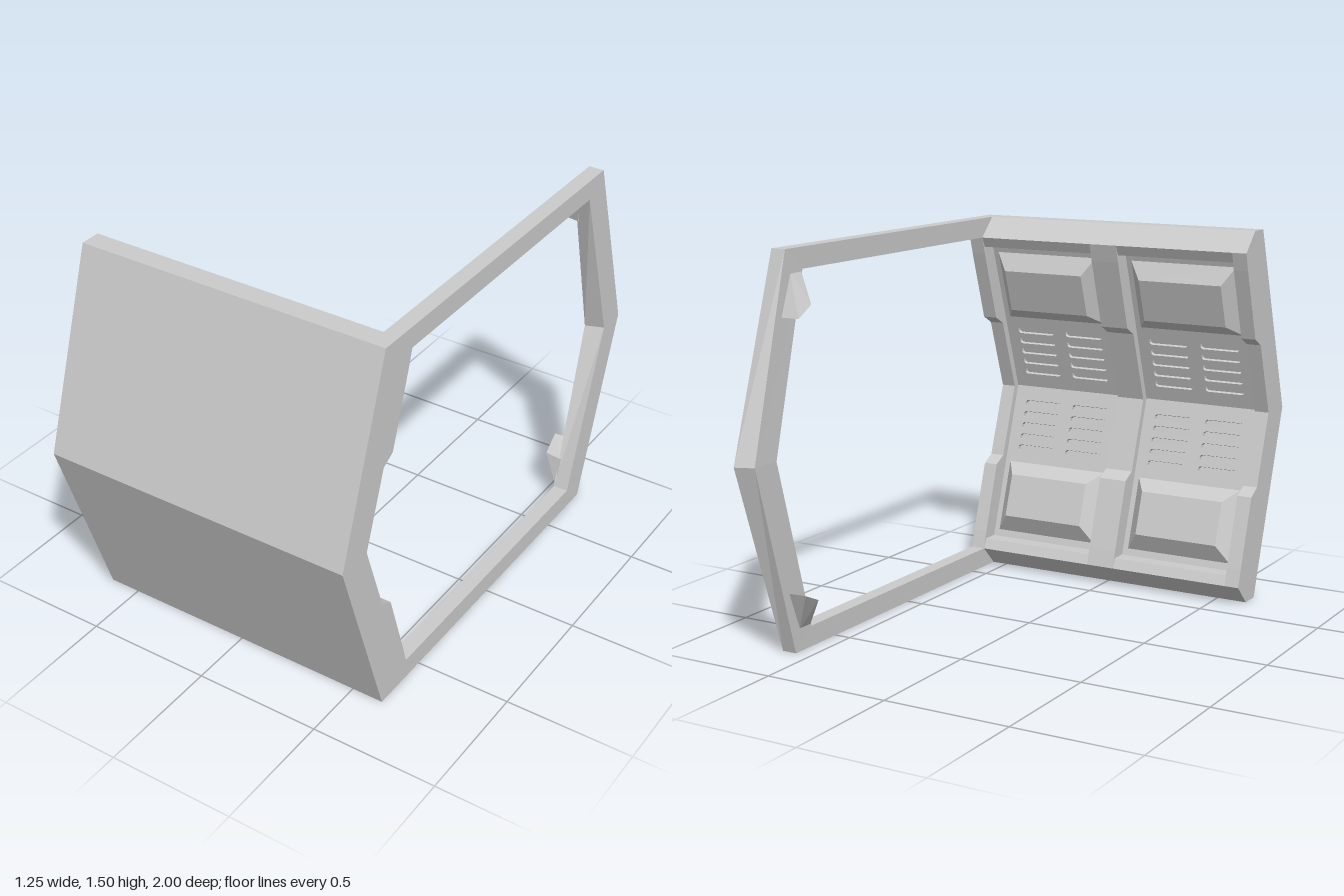
import * as THREE from 'three';
import { ConvexGeometry } from 'three/addons/geometries/ConvexGeometry.js';

const material = new THREE.MeshStandardMaterial({ color: 0xcccccc, flatShading: true });
const H = 1.5;

function add(parent, geometry, name) {
  const mesh = new THREE.Mesh(geometry, material);
  mesh.name = name;
  parent.add(mesh);
  return mesh;
}

const toShape = (points) => new THREE.Shape(points.map(([a, b]) => new THREE.Vector2(a, b)));

// Extrude a (z, y) outline along x, from x0 to x1
function extrudeX(shape, x0, x1) {
  const g = new THREE.ExtrudeGeometry(shape, { depth: x1 - x0, bevelEnabled: false });
  g.rotateY(-Math.PI / 2);
  g.translate(x1, 0, 0);
  return g;
}

// Complete a lower-half profile (ending at mid height) with its upper mirror image
function mirrorUp(half) {
  const upper = half.slice(0, -1).reverse().map(([z, y]) => [z, H - y]);
  return [...half, ...upper];
}

// Raised box with sloping sides
function frustum(w, h, d, insetX, insetY) {
  const g = new THREE.BoxGeometry(w, h, d);
  g.translate(0, 0, d / 2);
  const p = g.attributes.position;
  for (let i = 0; i < p.count; i++) {
    if (p.getZ(i) < d / 2) continue;
    p.setX(i, p.getX(i) - Math.sign(p.getX(i)) * insetX);
    p.setY(i, p.getY(i) - Math.sign(p.getY(i)) * insetY);
  }
  g.computeVertexNormals();
  return g;
}

// Vent plate lying in its own xy plane, top edge at y = 0
function ventPlate(width, length, depth) {
  const w = width / 2;
  const shape = toShape([[-w, -length], [w, -length], [w, 0], [-w, 0]]);
  for (const cx of [-0.115, 0.115]) {
    for (let i = 0; i < 5; i++) {
      const y = -0.075 - i * 0.049, hx = 0.085, hy = 0.013, c = 0.007;
      const hole = [
        [-hx, -hy + c], [-hx, hy - c], [-hx + c, hy], [hx - c, hy],
        [hx, hy - c], [hx, -hy + c], [hx - c, -hy], [-hx + c, -hy],
      ].map(([a, b]) => new THREE.Vector2(cx + a, y + b));
      shape.holes.push(new THREE.Path(hole));
    }
  }
  const g = new THREE.ExtrudeGeometry(shape, { depth, bevelEnabled: false });
  g.translate(0, 0, -depth);
  return g;
}

// Lower or upper run of panels; local +z is the inward normal
function panelRun() {
  const run = new THREE.Group();
  const n = 1 / Math.hypot(3, 1);
  const slope = new THREE.Group();
  slope.applyMatrix4(new THREE.Matrix4().makeBasis(
    new THREE.Vector3(-1, 0, 0),
    new THREE.Vector3(0, 3 * n, n),
    new THREE.Vector3(0, n, -3 * n),
  ));
  slope.position.set(0, 0, 0.885);
  for (const x of [-0.3125, 0.3125]) {
    add(slope, ventPlate(0.505, 0.67, 0.016), 'ventPanel').position.x = x;
    add(slope, frustum(0.46, 0.3, 0.055, 0.05, 0.06), 'raisedPad').position.set(x, -0.485, 0);
  }
  run.add(slope);
  return run;
}

export function createModel() {
  const model = new THREE.Group();
  model.name = 'corridorCorner';

  // Stepped inner edge shared by all ribs, bottom to mid height
  const innerHalf = [[0.59, 0.08], [0.61, 0.15], [0.7, 0.43], [0.755, 0.46], [0.855, 0.75]];
  const inner = mirrorUp(innerHalf);
  const bevelled = [[0.67, 0], [0.75, 0], [1, 0.75], [0.75, H], [0.67, H]];

  // Wall body with bevelled top and bottom rails
  const body = [
    ...bevelled,
    ...mirrorUp([[0.59, 0.08], [0.61, 0.12], [0.69, 0.12], [0.9, 0.75]]).reverse(),
  ];
  add(model, extrudeX(toShape(body), -0.565, 0.565), 'wallBody');

  // End rib and centre rib
  const rib = [...bevelled, ...[...inner].reverse()];
  add(model, extrudeX(toShape(rib), -0.625, -0.565), 'endRib');
  const centre = [[0.7, 0.06], [0.95, 0.75], [0.7, H - 0.06], ...[...inner].reverse()];
  add(model, extrudeX(toShape(centre), -0.06, 0.06), 'centreRib');

  // Panels, the upper run turned half round from the lower
  for (const turn of [0, Math.PI]) {
    const run = panelRun();
    run.name = turn ? 'upperPanels' : 'lowerPanels';
    run.position.y = H / 2;
    run.rotation.z = turn;
    model.add(run);
  }

  // Hexagonal side frame, its back post mitred
  const frame = toShape([[0.75, 0], [1, 0.75], [0.75, H], [-0.75, H], [-1, 0.75], [-0.75, 0]]);
  const opening = [...inner, [-0.65, H - 0.08], [-0.875, 0.75], [-0.65, 0.08]];
  frame.holes.push(new THREE.Path(opening.map(([z, y]) => new THREE.Vector2(z, y))));
  const frameGeometry = extrudeX(frame, 0.565, 0.625);
  const p = frameGeometry.attributes.position;
  for (let i = 0; i < p.count; i++) {
    if (p.getX(i) < 0.6 && p.getZ(i) < -0.8) {
      p.setX(i, 0.553);
      p.setZ(i, p.getZ(i) + 0.027);
    }
  }
  frameGeometry.computeVertexNormals();
  add(model, frameGeometry, 'sideFrame');

  // Small corner brackets on the back post
  const bracket = [
    [0.57, 0.08, -0.655], [0.57, 0.08, -0.72], [0.5, 0.2, -0.69],
    [0.49, 0.24, -0.78], [0.57, 0.24, -0.785], [0.57, 0.2, -0.68],
  ];
  for (const top of [false, true]) {
    const points = bracket.map(([x, y, z]) => new THREE.Vector3(x, top ? H - y : y, z));
    add(model, new ConvexGeometry(points), top ? 'upperBracket' : 'lowerBracket');
  }
  return model;
}
